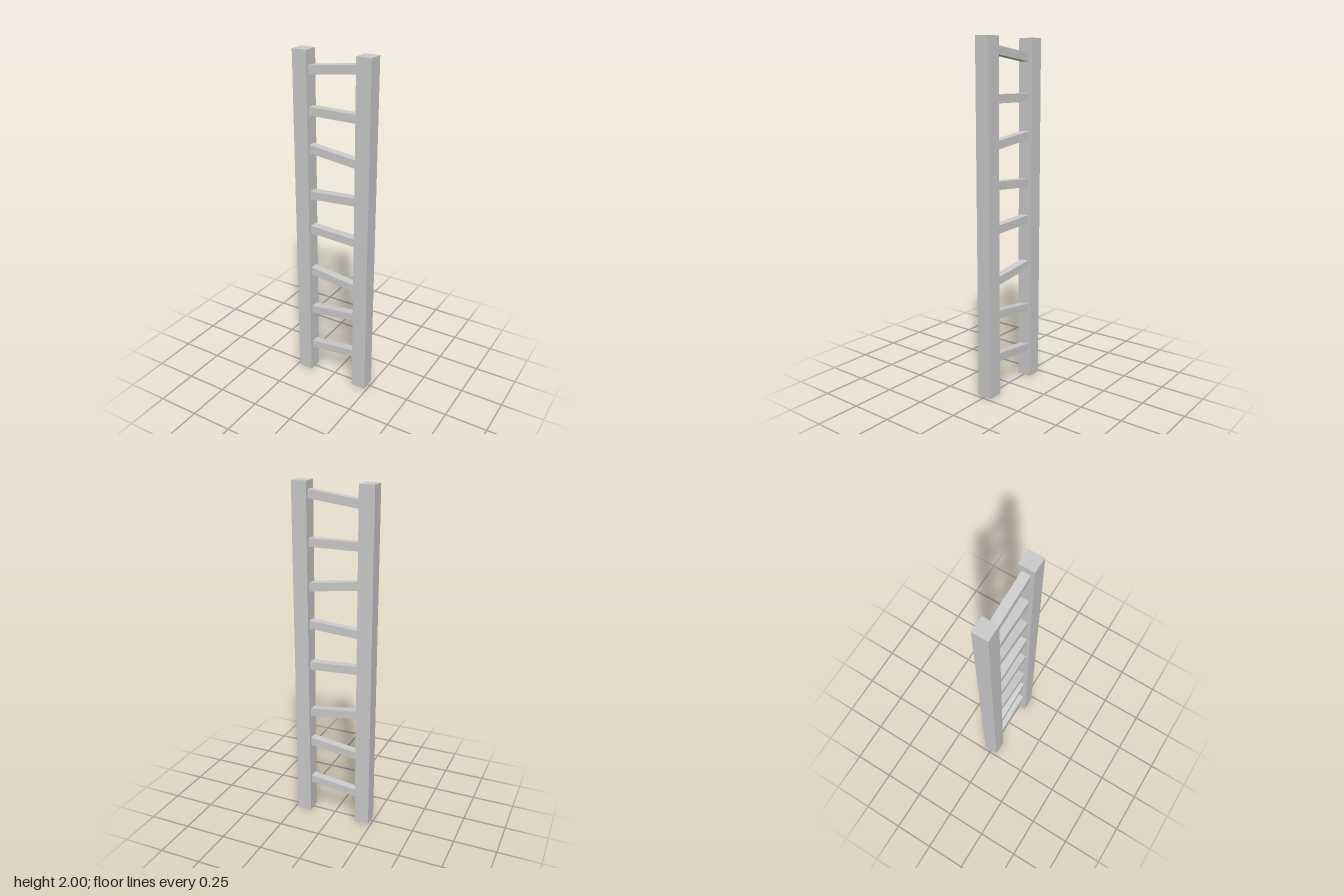
import * as THREE from 'three';

export function createModel() {
  const group = new THREE.Group();
  group.name = 'ladder';
  const material = new THREE.MeshStandardMaterial({ color: 0xcccccc, flatShading: true });

  // Two square upright rails
  const inner = 0.147, railWidth = 0.087;
  for (const side of [-1, 1]) {
    const rail = new THREE.Mesh(new THREE.BoxGeometry(railWidth, 2, railWidth), material);
    rail.name = side > 0 ? 'leftRail' : 'rightRail';
    rail.position.set(side * (inner + railWidth / 2), 1, 0);
    group.add(rail);
  }

  // Crooked rungs: centre heights at the -x end and the +x end
  const rungs = [
    [0.181, 0.214], [0.436, 0.474], [0.704, 0.667], [0.978, 0.963],
    [1.191, 1.212], [1.464, 1.429], [1.676, 1.676], [1.895, 1.932],
  ];
  rungs.forEach(([low, high], i) => {
    const geometry = new THREE.BoxGeometry(inner * 2, 0.047, 0.048);
    // Shear the box so its ends stay flush with the rails
    const slope = (high - low) / (inner * 2);
    const p = geometry.attributes.position;
    for (let v = 0; v < p.count; v++) p.setY(v, p.getY(v) + p.getX(v) * slope);
    geometry.computeVertexNormals();
    const rung = new THREE.Mesh(geometry, material);
    rung.name = `rung${i + 1}`;
    rung.position.y = (low + high) / 2;
    group.add(rung);
  });

  return group;
}
